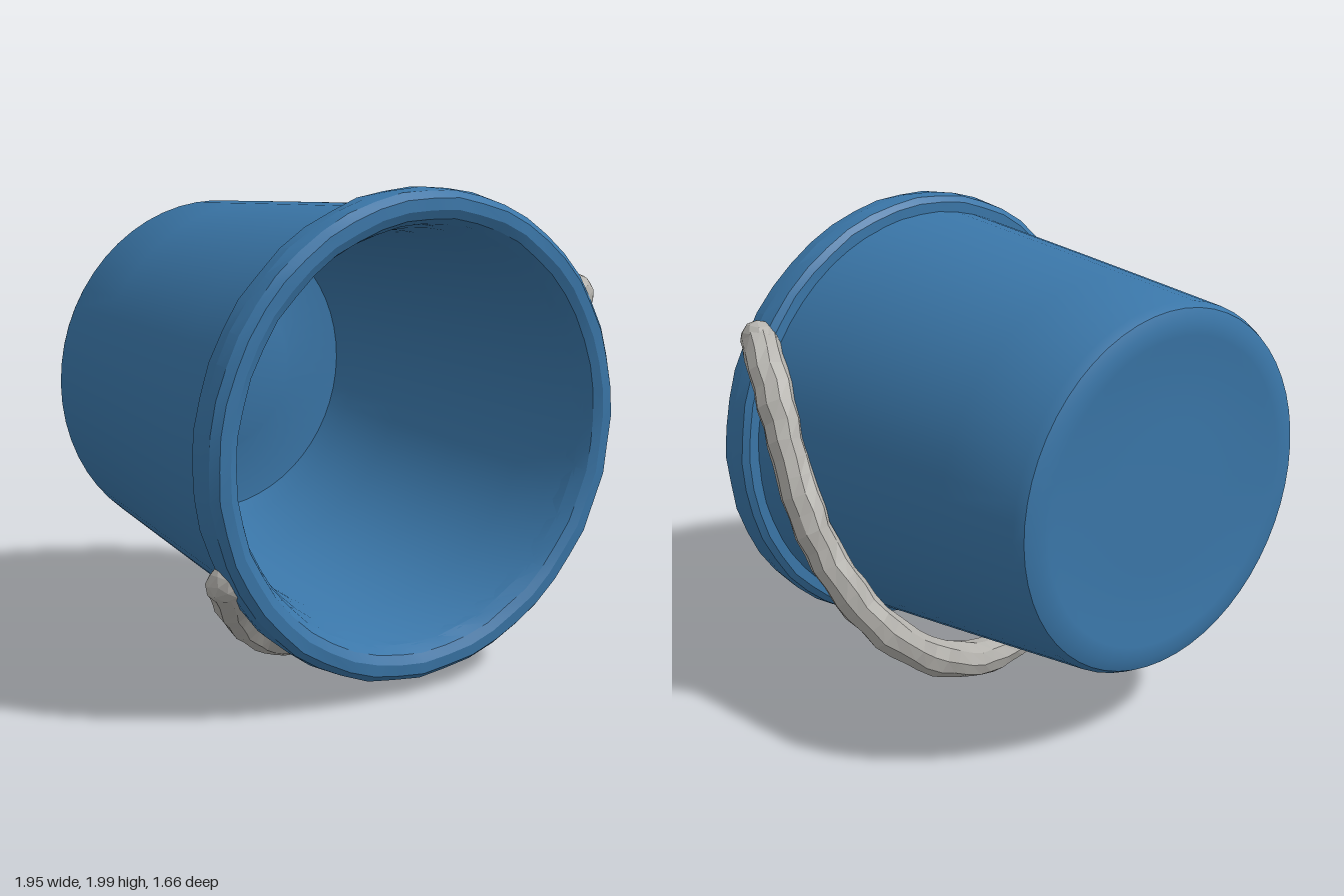
import * as THREE from 'three';
import { toCreasedNormals } from 'three/addons/utils/BufferGeometryUtils.js';

// Moves vertices by a smooth positional ripple, so shared corners stay joined.
function roughen(geometry, amount) {
  const p = geometry.attributes.position;
  for (let i = 0; i < p.count; i++) {
    const x = p.getX(i), y = p.getY(i), z = p.getZ(i);
    p.setXYZ(i,
      x + amount * Math.sin(31 * y + 17 * z + 2),
      y + amount * Math.sin(29 * z + 23 * x),
      z + amount * Math.sin(27 * x + 19 * y + 1));
  }
  return geometry;
}

// Revolves [radius, depth] points around z, then lets the axis lean slightly.
function revolve(points, segments) {
  const profile = points.map(([r, s]) => new THREE.Vector2(r, s));
  const geometry = new THREE.LatheGeometry(profile, segments).rotateX(Math.PI / 2);
  const p = geometry.attributes.position;
  for (let i = 0; i < p.count; i++) {
    const z = p.getZ(i);
    p.setXY(i, p.getX(i) + 0.022 * z, p.getY(i) - 0.026 * z);
  }
  return geometry;
}

function faceted(geometry) {
  const g = geometry.toNonIndexed();
  g.computeVertexNormals();
  return g;
}

export function createModel() {
  const blue = new THREE.MeshStandardMaterial({ color: 0x3a76a8 });
  blue.name = 'bucket blue';
  const grey = new THREE.MeshStandardMaterial({ color: 0xb3b1ac });
  grey.name = 'handle grey';

  const model = new THREE.Group();
  model.name = 'tippedBucket';

  const add = (parent, name, geometry, material) => {
    const mesh = new THREE.Mesh(geometry, material);
    mesh.name = name;
    parent.add(mesh);
  };

  // Bucket lying on its side with a slight tilt, mouth to the front
  const bucket = new THREE.Group();
  bucket.name = 'bucket';
  bucket.position.set(-0.032, 1.064, 0);
  bucket.rotation.x = 0.014;
  model.add(bucket);

  // Outer wall and nearly flat base with a rounded edge
  const outer = revolve([
    [0, -0.806], [0.3, -0.806], [0.59, -0.808], [0.63, -0.815], [0.69, -0.815],
    [0.735, -0.798], [0.755, -0.76], [0.79, -0.4], [0.828, 0], [0.86, 0.35], [0.89, 0.68],
  ], 56);
  add(bucket, 'outerWall', toCreasedNormals(outer, 0.7), blue);

  // Thick inner wall, flaring at the mouth, and floor with a faint raised ring
  const inner = revolve([
    [0.83, 0.76], [0.8, 0.66], [0.77, 0.48], [0.735, 0.1], [0.7, -0.3], [0.67, -0.62],
    [0.64, -0.71], [0.39, -0.715], [0.36, -0.705], [0, -0.705],
  ], 56);
  add(bucket, 'innerWall', toCreasedNormals(inner, 0.7), blue);

  // Thick rolled rim
  const rim = revolve([
    [0.87, 0.65], [0.93, 0.65], [0.955, 0.67], [0.962, 0.73], [0.956, 0.785],
    [0.93, 0.815], [0.885, 0.818], [0.85, 0.8], [0.825, 0.75], [0.812, 0.69],
  ], 48);
  add(bucket, 'rim', toCreasedNormals(roughen(rim, 0.0025), 0.25), blue);

  // Handle hanging loosely around the underside, from one side of the rim to the other
  const path = new THREE.CatmullRomCurve3([
    [0.795, 1.53, 0.71], [0.85, 1.38, 0.55], [0.885, 1.12, 0.39], [0.885, 0.88, 0.27],
    [0.82, 0.64, 0.16], [0.7, 0.43, 0.06], [0.53, 0.275, 0.02], [0.3, 0.15, 0.03],
    [0, 0.087, 0.095], [-0.3, 0.14, 0.21], [-0.55, 0.285, 0.37], [-0.73, 0.45, 0.55],
    [-0.835, 0.575, 0.68],
  ].map((p) => new THREE.Vector3(...p)));

  const handle = new THREE.Group();
  handle.name = 'handle';
  model.add(handle);
  add(handle, 'handleBar', faceted(roughen(new THREE.TubeGeometry(path, 44, 0.079, 9), 0.005)), grey);

  // Blunt knobs closing both ends of the handle
  [['leftHandleEnd', 0], ['rightHandleEnd', 1]].forEach(([name, t]) => {
    const p = path.getPoint(t);
    const knob = new THREE.IcosahedronGeometry(0.08, 1).translate(p.x, p.y, p.z);
    add(handle, name, faceted(roughen(knob, 0.005)), grey);
  });

  return model;
}
